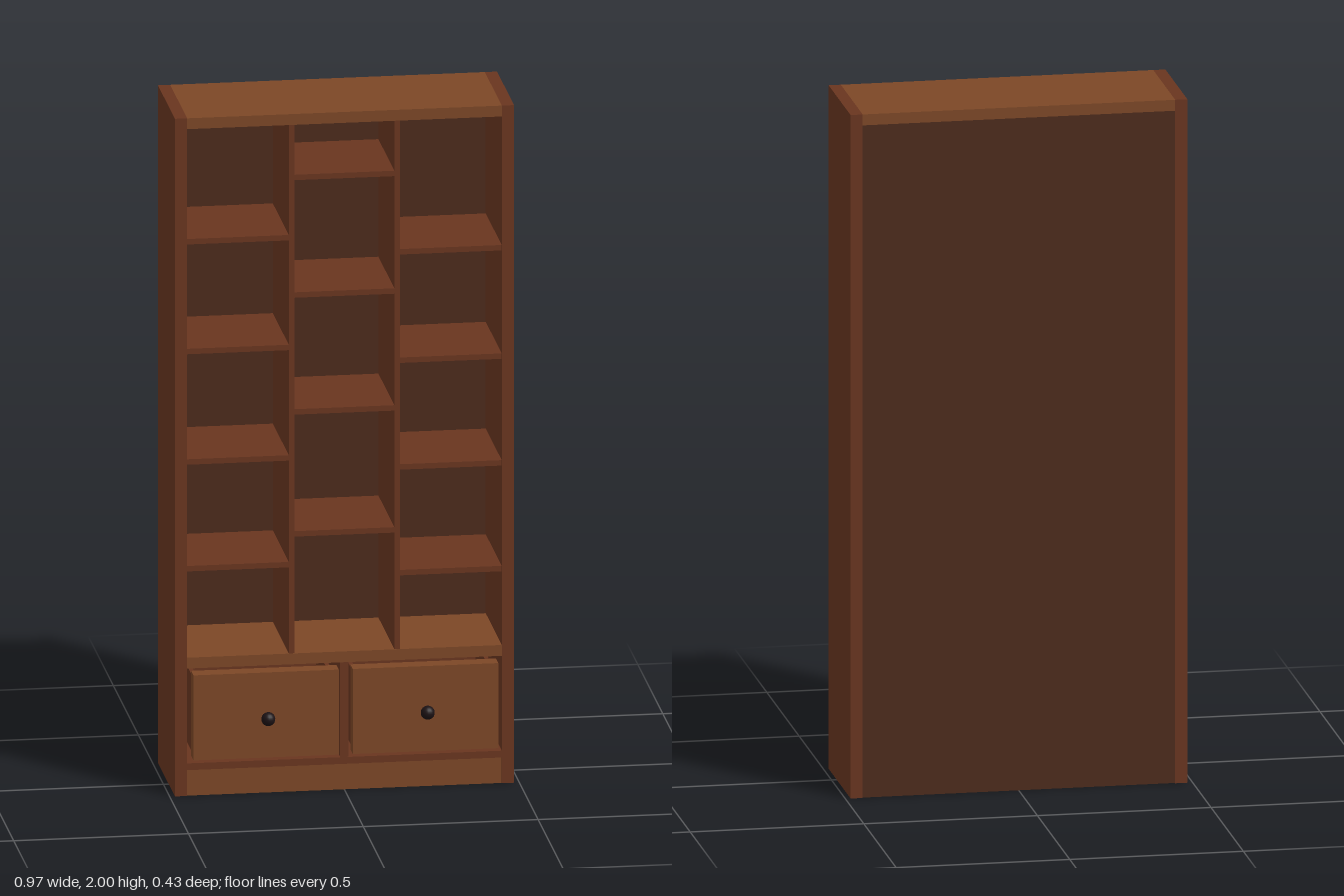
import * as THREE from 'three';

const mat = (color) => new THREE.MeshStandardMaterial({ color });

export function createModel() {
  const model = new THREE.Group();
  model.name = 'bookcase';
  const dark = mat(0x69351f), light = mat(0x7c4726), backing = mat(0x4c2a1b), black = mat(0x1c1214);

  // Box given by its minimum and maximum along each axis
  const board = (name, material, [x0, x1], [y0, y1], [z0, z1], parent = model) => {
    const mesh = new THREE.Mesh(new THREE.BoxGeometry(x1 - x0, y1 - y0, z1 - z0), material);
    mesh.position.set((x0 + x1) / 2, (y0 + y1) / 2, (z0 + z1) / 2);
    mesh.name = name;
    parent.add(mesh);
    return mesh;
  };

  const back = -0.215, front = 0.125, inner = 0.45, outer = 0.485;
  const depth = [back, front], inside = [-0.197, front - 0.002];

  // Carcass
  board('leftSide', dark, [inner, outer], [0, 2], depth);
  board('rightSide', dark, [-outer, -inner], [0, 2], depth);
  board('topPanel', light, [-inner, inner], [1.968, 2], depth);
  board('backPanel', backing, [-inner, inner], [0, 1.968], [back + 0.004, -0.197]);
  board('cabinetFloor', light, [-inner, inner], [0.376, 0.408], [-0.197, front]);
  board('bottomPanel', dark, [-inner, inner], [0.076, 0.096], [-0.197, front]);
  board('plinth', light, [-inner, inner], [0, 0.076], [front - 0.03, front - 0.003]);
  board('drawerDivider', dark, [-0.012, 0.012], [0.096, 0.376], inside);

  // Upright dividers
  for (const x of [-0.151, 0.151])
    board('upright', dark, [x - 0.008, x + 0.008], [0.408, 1.968], inside);

  // Staggered shelves, column by column
  const columns = [
    { x: [-inner, -0.159], heights: [0.67, 0.985, 1.311, 1.635] },
    { x: [-0.143, 0.143], heights: [0.76, 1.12, 1.465, 1.812] },
    { x: [0.159, inner], heights: [0.633, 0.945, 1.26, 1.58] },
  ];
  for (const { x, heights } of columns)
    for (const y of heights) board('shelf', dark, x, [y - 0.008, y + 0.008], inside);

  // Drawers: open box, overlapping front and a round knob on a stem
  for (const side of [-1, 1]) {
    const drawer = new THREE.Group();
    drawer.name = side > 0 ? 'leftDrawer' : 'rightDrawer';
    drawer.position.set(side * 0.228, 0.238, 0);
    model.add(drawer);
    board('drawerFront', light, [-0.208, 0.208], [-0.126, 0.125], [0.105, 0.152], drawer);
    board('drawerBase', dark, [-0.2, 0.2], [-0.126, -0.114], [-0.18, 0.105], drawer);
    board('drawerBack', dark, [-0.2, 0.2], [-0.114, 0.1], [-0.18, -0.168], drawer);
    for (const s of [-1, 1])
      board('drawerWall', dark, [s * 0.194 - 0.006, s * 0.194 + 0.006], [-0.114, 0.1], [-0.168, 0.105], drawer);

    const stem = new THREE.Mesh(new THREE.CylinderGeometry(0.006, 0.006, 0.04, 12), black);
    stem.name = 'knobStem';
    stem.rotation.x = Math.PI / 2;
    stem.position.z = 0.168;
    const knob = new THREE.Mesh(new THREE.SphereGeometry(0.02, 16, 12), black);
    knob.name = 'knob';
    knob.position.z = 0.195;
    drawer.add(stem, knob);
  }
  return model;
}
